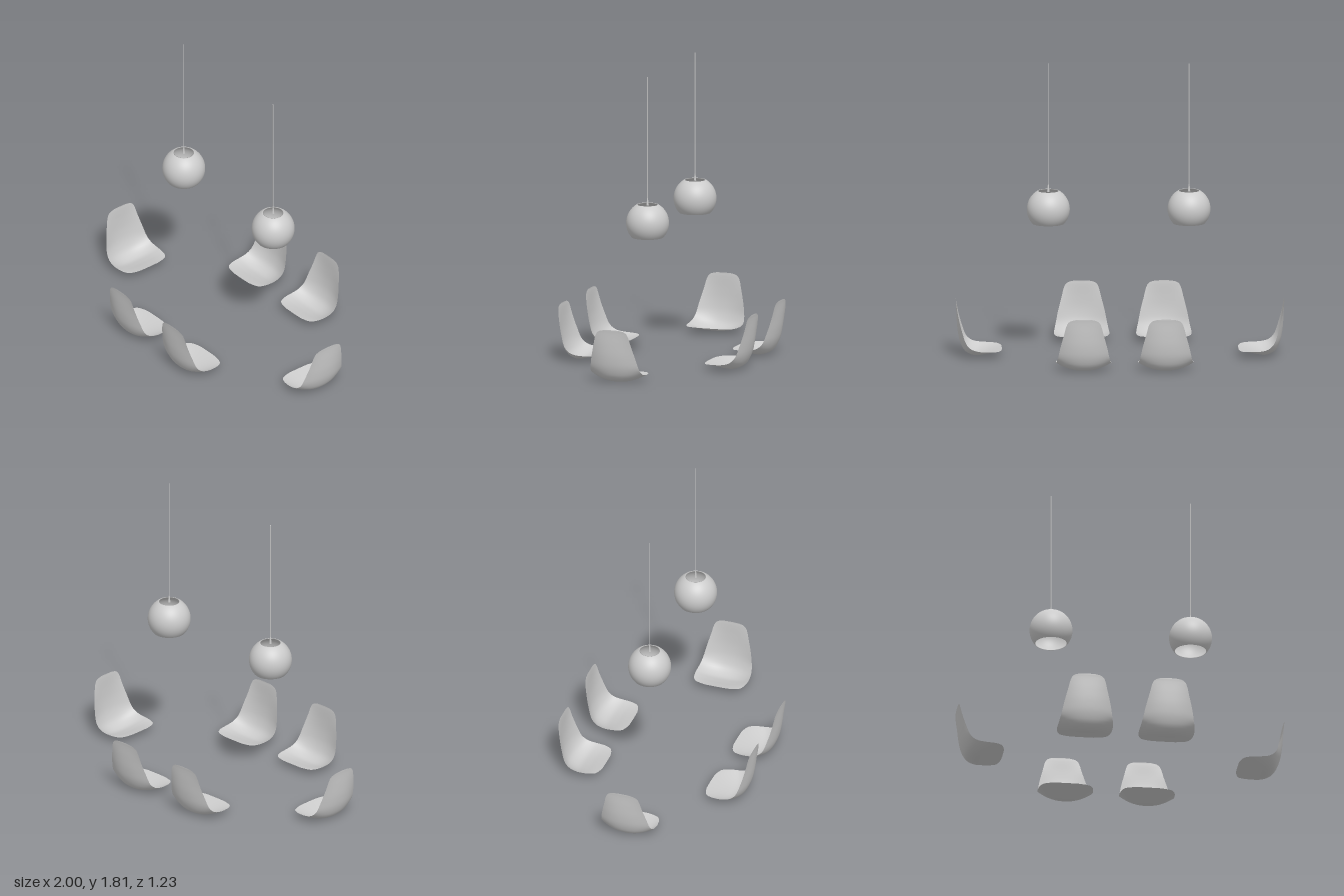
import * as THREE from 'three';

const material = new THREE.MeshStandardMaterial({ color: 0xcccccc, side: THREE.DoubleSide });

// Shell stations, top of the back to front lip:
// [centre depth, centre height, rim depth, rim height, half width]
const STATIONS = [
  [0.000, 0.340, 0.000, 0.338, 0.050],
  [0.000, 0.335, 0.001, 0.331, 0.078],
  [0.001, 0.322, 0.003, 0.319, 0.095],
  [0.002, 0.300, 0.006, 0.298, 0.106],
  [0.004, 0.240, 0.017, 0.240, 0.121],
  [0.010, 0.160, 0.038, 0.160, 0.142],
  [0.025, 0.085, 0.065, 0.088, 0.157],
  [0.055, 0.028, 0.100, 0.058, 0.165],
  [0.110, 0.002, 0.150, 0.046, 0.169],
  [0.170, 0.011, 0.190, 0.044, 0.167],
  [0.220, 0.025, 0.225, 0.043, 0.160],
  [0.260, 0.036, 0.255, 0.042, 0.143],
  [0.275, 0.040, 0.270, 0.042, 0.112],
  [0.280, 0.042, 0.279, 0.042, 0.070],
];

// Thin moulded seat shell, back at z = 0, facing +z
function shellGeometry() {
  const rows = 52, cols = 28;
  const centre = new THREE.CatmullRomCurve3(STATIONS.map(s => new THREE.Vector3(0, s[1], s[0])));
  const rim = new THREE.CatmullRomCurve3(STATIONS.map(s => new THREE.Vector3(s[4], s[3], s[2])));
  const geo = new THREE.PlaneGeometry(1, 1, cols, rows);
  const pos = geo.attributes.position;
  for (let r = 0; r <= rows; r++) {
    const c = centre.getPoint(r / rows), e = rim.getPoint(r / rows);
    for (let k = 0; k <= cols; k++) {
      const u = (k / cols) * 2 - 1;
      const w = Math.pow(Math.abs(u), 2.2);
      pos.setXYZ(r * (cols + 1) + k, e.x * u,
        THREE.MathUtils.lerp(c.y, e.y, w), THREE.MathUtils.lerp(c.z, e.z, w));
    }
  }
  geo.computeVertexNormals();
  return geo;
}

// Hollow globe shade, open at the bottom, with a narrow inward lip at the top
function shadeGeometry() {
  const R = 0.131, wall = 0.003, pts = [];
  const low = Math.asin(-0.088 / R), high = Math.asin(0.112 / R), n = 28;
  const arc = (radius, t) => {
    const a = THREE.MathUtils.lerp(low, high, t);
    return new THREE.Vector2(radius * Math.cos(a), radius * Math.sin(a));
  };
  for (let i = 0; i <= n; i++) pts.push(arc(R, i / n));
  pts.push(new THREE.Vector2(0.064, 0.114), new THREE.Vector2(0.059, 0.112));
  for (let i = n; i >= 0; i--) pts.push(arc(R - wall, i / n));
  pts.push(pts[0].clone());
  return new THREE.LatheGeometry(pts, 56);
}

export function createModel() {
  const model = new THREE.Group();
  const add = (parent, name, geo, x, y, z) => {
    const mesh = new THREE.Mesh(geo, material);
    mesh.name = name;
    mesh.position.set(x, y, z);
    parent.add(mesh);
    return mesh;
  };

  // Six seat shells facing inward: x, z of the back and turn about y
  const shell = shellGeometry();
  const seats = [
    [-0.273, -0.615, 0], [0.228, -0.615, 0],
    [-0.273, 0.612, Math.PI], [0.228, 0.612, Math.PI],
    [-1, 0.015, Math.PI / 2], [1, 0.025, -Math.PI / 2],
  ];
  seats.forEach(([x, z, turn], i) => {
    add(model, `seatShell${i + 1}`, shell, x, 0, z).rotation.y = turn;
  });

  // Two pendant lamps
  const shade = shadeGeometry();
  const cord = new THREE.CylinderGeometry(0.0025, 0.0025, 0.79, 10);
  const grip = new THREE.CylinderGeometry(0.003, 0.008, 0.045, 16);
  for (const [name, x] of [['rightLamp', -0.42], ['leftLamp', 0.437]]) {
    const lamp = new THREE.Group();
    lamp.name = name;
    lamp.position.set(x, 0, -0.008);
    add(lamp, 'shade', shade, 0, 0.907, 0);
    add(lamp, 'cord', cord, 0, 1.415, 0);
    add(lamp, 'cordGrip', grip, 0, 1.038, 0);
    model.add(lamp);
  }
  return model;
}
